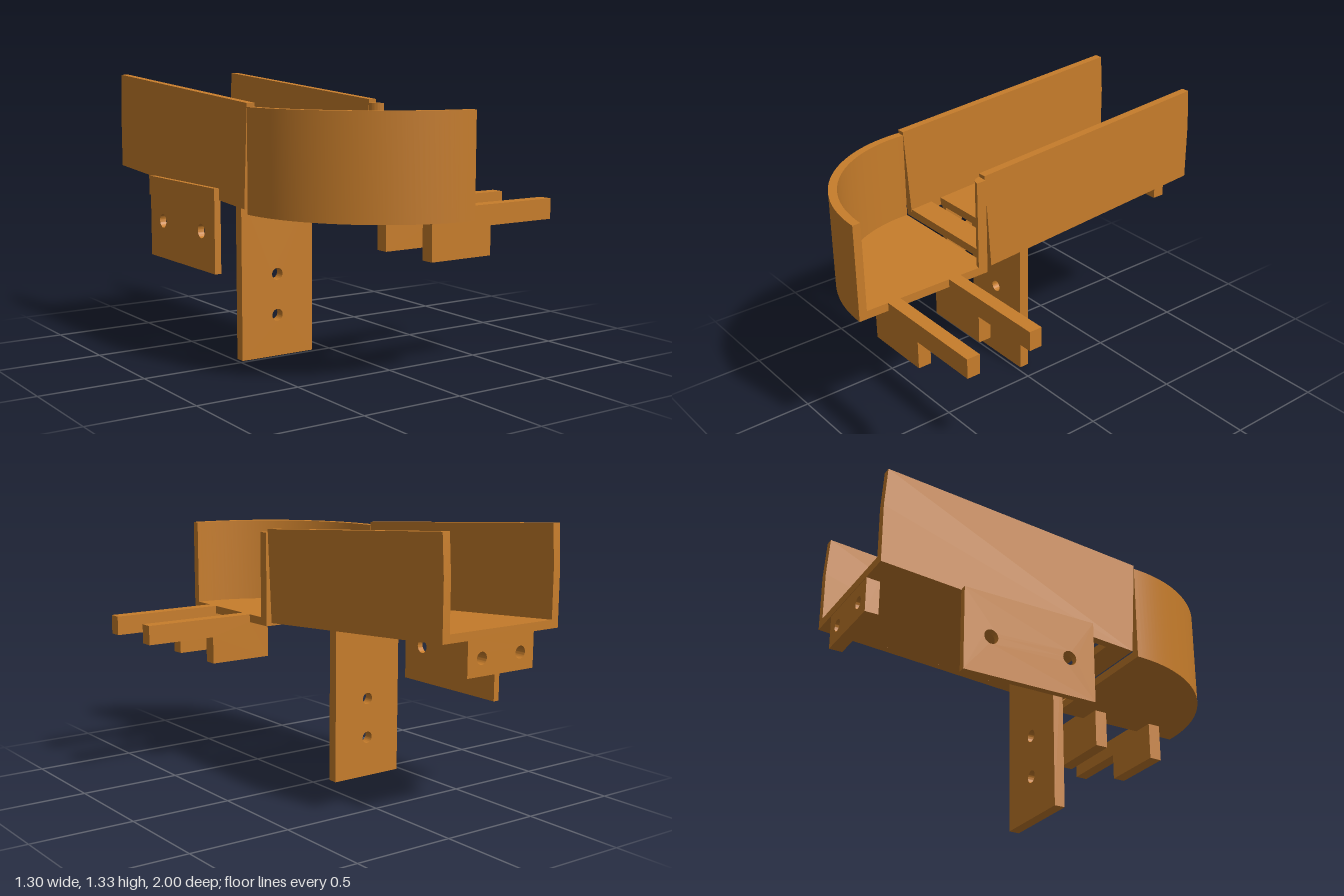
import * as THREE from 'three';
import { toCreasedNormals } from 'three/addons/utils/BufferGeometryUtils.js';

export function createModel() {
  const group = new THREE.Group();
  const orange = new THREE.MeshStandardMaterial({ color: 0xc77d2b });
  orange.name = 'orange';

  const polygon = (points) => new THREE.Shape(points.map(([a, b]) => new THREE.Vector2(a, b)));

  const withHoles = (shape, radius, centres) => {
    for (const [a, b] of centres) {
      shape.holes.push(new THREE.Path().absarc(a, b, radius, 0, Math.PI * 2, true));
    }
    return shape;
  };

  // Extrude a shape from `from` to `to` along the given axis.
  // x: shape is (-z, y); y: shape is (x, -z); z: shape is (x, y)
  const add = (name, shape, axis, from, to) => {
    const extruded = new THREE.ExtrudeGeometry(shape, {
      depth: to - from, bevelEnabled: false, curveSegments: 24,
    });
    extruded.translate(0, 0, from);
    if (axis === 'x') extruded.rotateY(Math.PI / 2);
    if (axis === 'y') extruded.rotateX(-Math.PI / 2);
    const mesh = new THREE.Mesh(toCreasedNormals(extruded, 0.5), orange);
    mesh.name = name;
    group.add(mesh);
  };

  // Sloping ramp: two side walls, cut upright at the back end
  const wall = [[-0.27, 0.77], [1, 0.86], [1, 1.14], [0.987, 1.33], [-0.3, 1.237]];
  add('rampWallOuter', polygon(wall), 'x', -0.63, -0.59);
  add('rampWallInner', polygon(wall), 'x', 0.02, 0.06);

  // Ramp floor, split by a narrow slot near its lower end
  const bottom = (z) => 0.77 + (0.27 - z) * 0.0709;
  const floorSlab = (name, front, back) => add(name, polygon([
    [-front, bottom(front)], [-back, bottom(back)],
    [-back, bottom(back) + 0.04], [-front, bottom(front) + 0.04],
  ]), 'x', -0.59, 0.02);
  floorSlab('rampFloor', 0.093, -1);
  floorSlab('rampFloorStrip', 0.27, 0.15);

  // Quarter-turn channel: outer wall, floor and inner corner post
  const cx = 0.07, cy = -0.3;
  const sector = (r) => new THREE.Shape()
    .moveTo(cx, cy).lineTo(cx - r, cy)
    .absarc(cx, cy, r, Math.PI, Math.PI * 1.5, false)
    .lineTo(cx, cy);
  const ring = new THREE.Shape()
    .absarc(cx, cy, 0.7, Math.PI, Math.PI * 1.5, false)
    .absarc(cx, cy, 0.66, Math.PI * 1.5, Math.PI, true);
  add('curveWall', ring, 'y', 0.75, 1.22);
  add('curveFloor', sector(0.66), 'y', 0.75, 0.79);
  add('cornerPost', sector(0.05), 'y', 0.79, 1.22);

  // Two stepped support arms at the channel outlet
  const arm = [
    [-0.04, 0.56], [0.29, 0.56], [0.29, 0.695], [0.65, 0.695],
    [0.65, 0.79], [0.07, 0.79], [0.07, 0.75], [-0.04, 0.75],
  ];
  add('armRear', polygon(arm), 'z', 0.455, 0.52);
  add('armFront', polygon(arm), 'z', 0.785, 0.85);

  // Drilled mounting plates
  const rect = (a0, a1, b0, b1) => polygon([[a0, b0], [a1, b0], [a1, b1], [a0, b1]]);
  add('centrePlate', withHoles(rect(-0.48, -0.087, 0, 0.8), 0.029,
    [[-0.285, 0.2], [-0.285, 0.4]]), 'z', -0.07, -0.02);
  add('backTab', withHoles(rect(-0.48, -0.087, 0.695, 0.87), 0.029,
    [[-0.4, 0.775], [-0.17, 0.775]]), 'z', -0.998, -0.935);
  add('sidePlate', withHoles(rect(-0.04, 0.617, 0.445, 0.84), 0.034,
    [[0.09, 0.63], [0.485, 0.63]]), 'x', -0.654, -0.622);

  return group;
}
